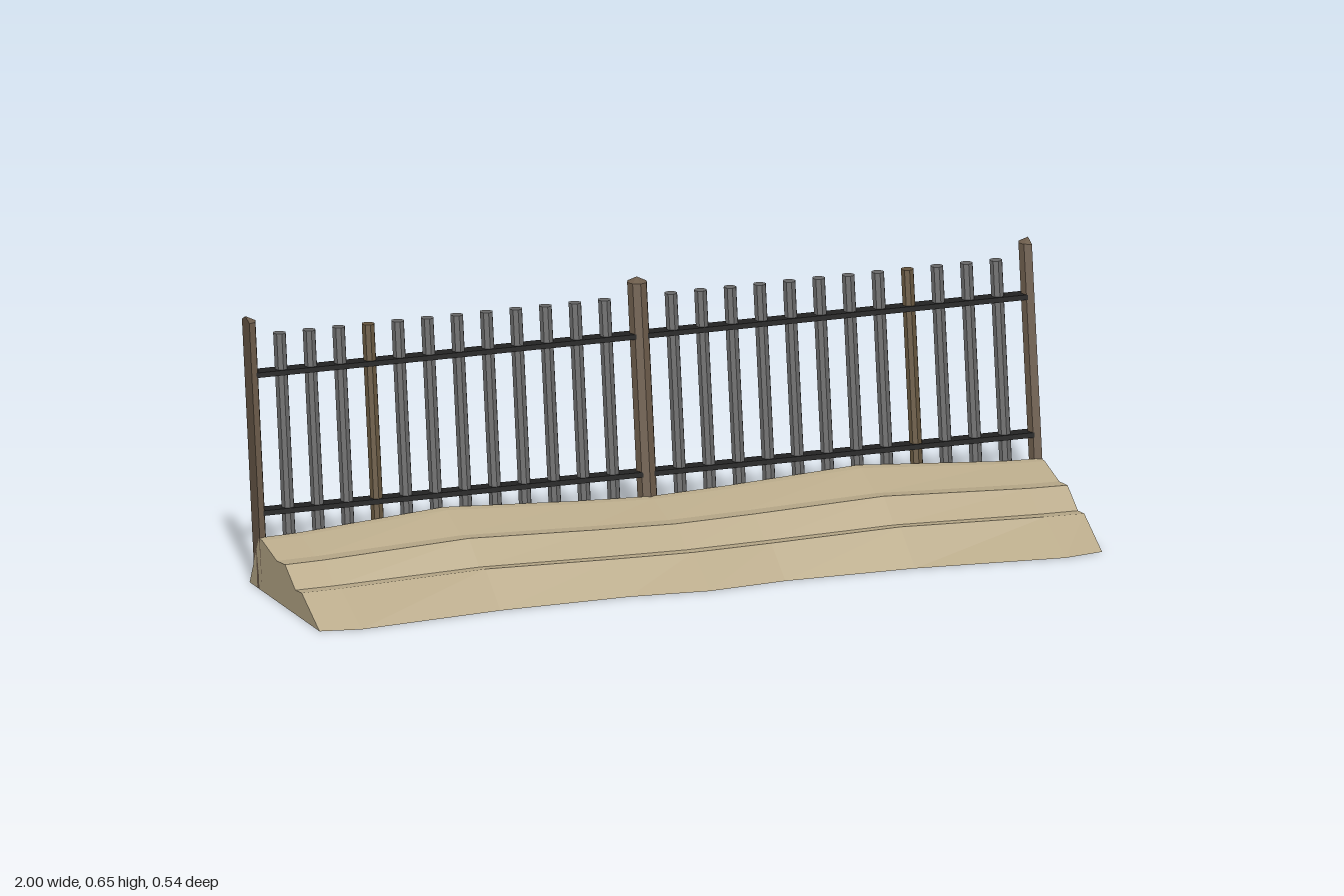
import * as THREE from 'three';

const mat = (name, color) => {
  const m = new THREE.MeshStandardMaterial({ color, flatShading: true });
  m.name = name;
  return m;
};

// Everything in the fence leans backwards by this much per unit of height
const LEAN = 0.136, FENCE_Z = -0.16;

function lean(geometry, clampSide = 0) {
  const p = geometry.attributes.position;
  for (let i = 0; i < p.count; i++) {
    // flatten one half, for posts cut by the end of the piece
    if (p.getX(i) * clampSide > 0) p.setX(i, 0);
    p.setZ(i, p.getZ(i) + FENCE_Z - LEAN * p.getY(i));
  }
  const flat = geometry.toNonIndexed();
  flat.computeVertexNormals();
  return flat;
}

// Sand bank: cross-sections [x, front toe z, crest swell 0..1]
function moundGeometry() {
  const half = [[0, 0.245, 0.15], [0.2, 0.225, 0.4], [0.53, 0.23, 1], [0.9, 0.27, 0.1], [1, 0.25, 0]];
  const sections = [...half.slice(1).reverse().map(([x, z, h]) => [-x, z, h]), ...half];
  // [z, low y, high y] from front to back
  const steps = [
    [0.13, 0.064, 0.077], [0.088, 0.06, 0.071],
    [0.018, 0.105, 0.124], [-0.038, 0.1, 0.117],
    [-0.135, 0.125, 0.154], [-0.158, 0.126, 0.156],
  ];
  const tops = sections.map(([x, toe, h]) => [
    new THREE.Vector3(x, 0, toe),
    ...steps.map(([z, lo, hi]) => new THREE.Vector3(x, lo + (hi - lo) * h, z)),
    new THREE.Vector3(x, 0, -0.22),
  ]);
  const floors = tops.map((row) => row.map((v) => new THREE.Vector3(v.x, 0, v.z)));
  const out = [];
  const quad = (a, b, c, d) => [a, b, c, a, c, d].forEach((v) => out.push(v.x, v.y, v.z));
  const last = tops.length - 1;
  for (let j = 0; j < tops[0].length - 1; j++) {
    for (let i = 0; i < last; i++) {
      quad(tops[i][j], tops[i + 1][j], tops[i + 1][j + 1], tops[i][j + 1]);
      quad(floors[i][j + 1], floors[i + 1][j + 1], floors[i + 1][j], floors[i][j]);
    }
    // end walls
    quad(floors[last][j], floors[last][j + 1], tops[last][j + 1], tops[last][j]);
    quad(tops[0][j], tops[0][j + 1], floors[0][j + 1], floors[0][j]);
  }
  const g = new THREE.BufferGeometry();
  g.setAttribute('position', new THREE.Float32BufferAttribute(out, 3));
  g.computeVertexNormals();
  return g;
}

export function createModel() {
  const group = new THREE.Group();
  const sand = mat('sand', 0xb9aa8a);
  const postWood = mat('post wood', 0x6b5b4a);
  const greyWood = mat('weathered grey', 0x686868);
  const brownWood = mat('brown slat wood', 0x66563f);
  const wire = mat('dark rail', 0x222222);

  const add = (name, geometry, material, x = 0) => {
    const mesh = new THREE.Mesh(geometry, material);
    mesh.name = name;
    mesh.position.x = x;
    group.add(mesh);
  };

  add('sandBank', moundGeometry(), sand);

  // Posts: pointed octagons, the outer two cut in half
  const profile = [[0, 0], [0.025, 0], [0.025, 0.64], [0, 0.652]].map(([r, y]) => new THREE.Vector2(r, y));
  for (const side of [-1, 0, 1]) {
    add(side ? 'endPost' : 'middlePost', lean(new THREE.LatheGeometry(profile, 8), side), postWood, side);
  }

  // Slats, twelve on each side, one brown
  const slat = lean(new THREE.CylinderGeometry(0.016, 0.016, 0.575, 8).translate(0, 0.3175, 0));
  for (const side of [-1, 1]) {
    for (let i = 0; i < 12; i++) {
      add('slat', slat, i === 8 ? brownWood : greyWood, side * (0.085 + i * 0.0755));
    }
  }

  // Rails
  for (const y of [0.183, 0.513]) {
    add('rail', lean(new THREE.BoxGeometry(1.99, 0.012, 0.038).translate(0, y, 0)), wire);
  }
  return group;
}
